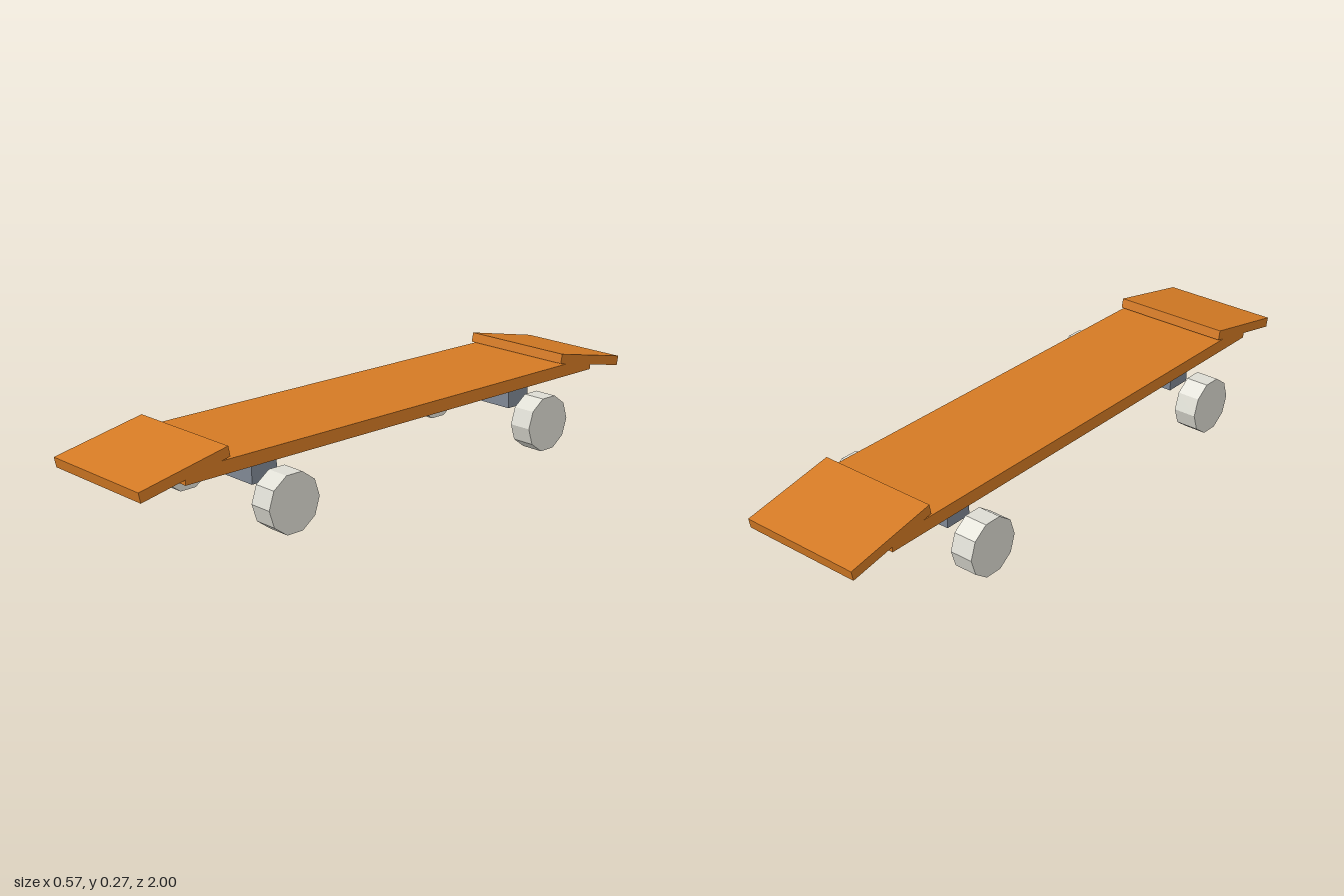
import * as THREE from 'three';

export function createModel() {
  const make = (name, color) => {
    const m = new THREE.MeshStandardMaterial({ color });
    m.name = name;
    return m;
  };
  const wood = make('orange wood', 0xd47a24);
  const metal = make('grey metal', 0x7f8894);
  const rubber = make('off-white wheel', 0xdddcd3);
  rubber.flatShading = true;

  const board = new THREE.Group();
  board.name = 'skateboard';
  const add = (name, geometry, material, x, y, z) => {
    const mesh = new THREE.Mesh(geometry, material);
    mesh.name = name;
    mesh.position.set(x, y, z);
    board.add(mesh);
    return mesh;
  };

  // Flat deck
  add('deck', new THREE.BoxGeometry(0.4, 0.041, 1.695), wood, 0, 0.2145, 0);

  // Sloping end plates, axles and ten-sided wheels, mirrored front to back
  const plateGeo = new THREE.BoxGeometry(0.4, 0.032, 0.306);
  const axleGeo = new THREE.BoxGeometry(0.308, 0.06, 0.092);
  const wheelGeo = new THREE.CylinderGeometry(0.0925, 0.0925, 0.076, 10).rotateZ(Math.PI / 2);
  for (const [end, s] of [['front', 1], ['back', -1]]) {
    add(end + 'EndPlate', plateGeo, wood, 0, 0.2265, s * 0.847).rotation.x = s * 0.2;
    add(end + 'Axle', axleGeo, metal, 0, 0.15, s * 0.538);
    for (const [side, d] of [['Left', 1], ['Right', -1]]) {
      add(end + side + 'Wheel', wheelGeo, rubber, d * 0.246, 0.088, s * 0.538);
    }
  }
  return board;
}
